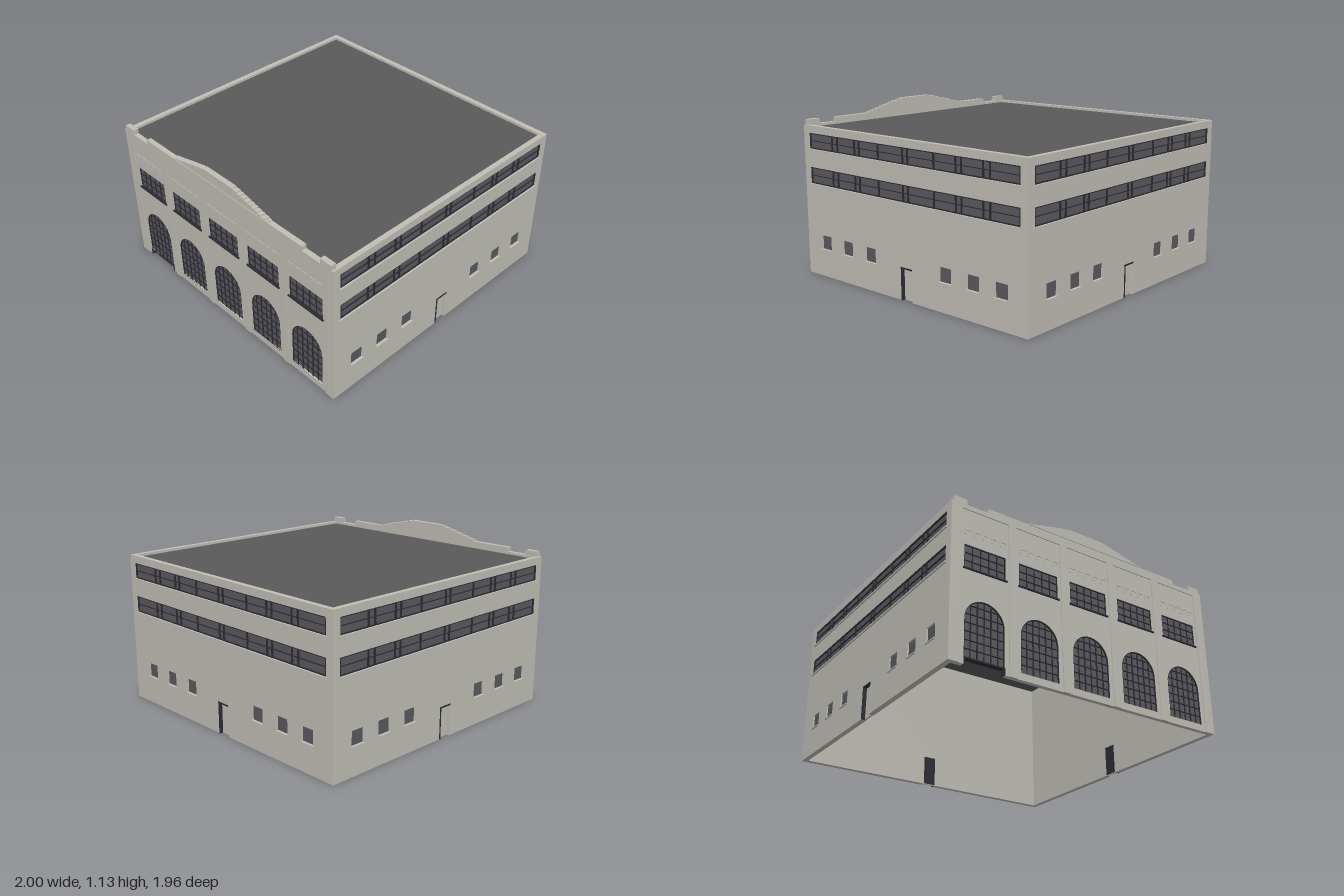
import * as THREE from 'three';

const mat = (name, color) => Object.assign(new THREE.MeshStandardMaterial({ color }), { name });

export function createModel() {
  const wall = mat('pale concrete', 0xc0beb5);
  const roofGrey = mat('roof grey', 0x5a5a5b);
  const glass = mat('window glass', 0x59595f);
  const frame = mat('dark frame', 0x2b2b33);
  const HX = 0.99, HZ = 0.975, T = 0.035, H = 1.02;

  const add = (parent, name, geo, m) => {
    const mesh = new THREE.Mesh(geo, m);
    mesh.name = name;
    parent.add(mesh);
    return mesh;
  };
  // box from its x, y and z limits
  const box = (p, name, m, x0, x1, y0, y1, z0, z1) =>
    add(p, name, new THREE.BoxGeometry(x1 - x0, y1 - y0, z1 - z0), m)
      .position.set((x0 + x1) / 2, (y0 + y1) / 2, (z0 + z1) / 2);
  // flat shape extruded between two depths
  const slab = (p, name, m, pts, holes, z0, z1) => {
    const s = new THREE.Shape(pts.map(q => new THREE.Vector2(...q)));
    s.holes = holes.map(h => new THREE.Path(h.map(q => new THREE.Vector2(...q))));
    const g = new THREE.ExtrudeGeometry(s, { depth: z1 - z0, bevelEnabled: false });
    add(p, name, g.translate(0, 0, z0), m);
  };
  const rect = (x0, x1, y0, y1) => [[x0, y0], [x1, y0], [x1, y1], [x0, y1]];
  // wall outline: ground line with notches [x0, x1, height], then the top edge right to left
  const outline = (half, top, notches) => [
    [-half, 0],
    ...notches.flatMap(([a, b, h]) => [[a, 0], [a, h], [b, h], [b, 0]]),
    [half, 0], ...top,
  ];

  const model = new THREE.Group();
  model.name = 'building';

  // Side and back walls: two ribbon windows, six small windows and a door
  function plainWall(name, half, ribbon, dist, angle) {
    const g = new THREE.Group();
    g.name = name;
    const top = [[half, H], [-half, H]];
    const door = [[-0.045, 0.045, 0.21]];
    const small = [-0.78, -0.56, -0.335, 0.335, 0.56, 0.78];
    const rows = [[0.63, 0.74], [0.865, 0.97]];
    const holes = [
      ...rows.map(([a, b]) => rect(-ribbon, ribbon, a, b)),
      ...small.map(x => rect(x - 0.048, x + 0.048, 0.19, 0.285)),
    ];
    slab(g, 'outerWall', wall, outline(half, top, door), holes, -0.015, 0);
    slab(g, 'innerWall', wall, outline(half, top, door), [], -T, -0.015);
    for (const [a, b] of rows) {
      box(g, 'ribbonGlass', glass, -ribbon, ribbon, a, b, -0.014, -0.011);
      const bar = (x0, x1, y0, y1) => box(g, 'ribbonBar', frame, x0, x1, y0, y1, -0.011, -0.003);
      bar(-ribbon, ribbon, a, a + 0.007);
      bar(-ribbon, ribbon, b - 0.007, b);
      bar(-ribbon, ribbon, (a + b) / 2 - 0.002, (a + b) / 2 + 0.002);
      for (const x of [0.022, 0.245, 0.425, 0.47, 0.64, 0.692, 0.915])
        for (const s of [-1, 1]) {
          const c = s * x * ribbon / 0.92;
          bar(c - 0.005, c + 0.005, a, b);
        }
      box(g, 'ribbonSill', wall, -ribbon - 0.008, ribbon + 0.008, a - 0.011, a, -0.005, 0.009);
    }
    for (const x of small) {
      box(g, 'smallWindow', glass, x - 0.048, x + 0.048, 0.19, 0.285, -0.014, -0.01);
      box(g, 'smallSill', wall, x - 0.052, x + 0.052, 0.183, 0.19, -0.005, 0.009);
    }
    // door leaf with a dark back, and a frame on one side and above
    box(g, 'doorLeaf', wall, -0.045, 0.045, 0, 0.21, -0.032, -0.02);
    box(g, 'doorBack', frame, -0.044, 0.044, 0.005, 0.209, -0.037, -0.032);
    box(g, 'doorJamb', frame, -0.05, -0.041, 0, 0.21, -0.02, 0.003);
    box(g, 'doorHead', frame, -0.053, 0.048, 0.206, 0.216, -0.02, 0.003);
    g.rotation.y = angle;
    g.position.set(Math.sin(angle) * dist, 0, Math.cos(angle) * dist);
    model.add(g);
  }
  plainWall('leftWall', HZ - T, 0.92, HX, Math.PI / 2);
  plainWall('rightWall', HZ - T, 0.92, HX, -Math.PI / 2);
  plainWall('backWall', HX, 0.935, HZ, Math.PI);

  // Front wall: stepped parapet and five bays
  const front = new THREE.Group();
  front.name = 'frontWall';
  front.position.z = HZ;
  model.add(front);

  const halfTop = [[HX, H], [0.975, H], [0.975, 1.055], [0.885, 1.055], [0.885, H],
    [0.74, H], [0.74, 1.05], [0.45, 1.05]];
  const stepX = [0.45, 0.43, 0.395, 0.365, 0.335, 0.305, 0.275, 0.245, 0.21, 0.18, 0.14];
  stepX.forEach((x, i) => {
    const y = 1.05 + 0.08 * (i + 1) / stepX.length;
    halfTop.push([x, y]);
    if (i < stepX.length - 1) halfTop.push([stepX[i + 1], y]);
  });
  const top = [...halfTop, ...halfTop.map(([x, y]) => [-x, y]).reverse()];

  const bays = [-0.755, -0.377, 0, 0.377, 0.755];
  const W = 0.134, SILL = 0.045, SPRING = 0.28;
  const arch = (c, r) => {
    const pts = [[c - r, SILL], [c + r, SILL]];
    for (let i = 0; i <= 20; i++) {
      const a = Math.PI * i / 20;
      pts.push([c + r * Math.cos(a), SPRING + r * Math.sin(a)]);
    }
    return pts;
  };
  const entry = [[bays[0] - W, bays[0] + W, 0.04]];
  const holes = bays.flatMap(c => [arch(c, W), rect(c - 0.142, c + 0.142, 0.6, 0.755)]);
  slab(front, 'frontSkin', wall, outline(HX, top, entry), holes, -0.02, -0.006);
  slab(front, 'frontLiner', wall, outline(HX, top, entry), [], -T, -0.02);
  slab(front, 'pilasters', wall, outline(HX, top, bays.map(c => [c - 0.163, c + 0.163, 0.99])), [], -0.006, 0);
  box(front, 'crownLedge', wall, -0.445, 0.445, 1.05, 1.056, -0.01, 0.004);

  for (const c of bays) {
    // arched window with a grid of bars
    slab(front, 'archGlass', glass, arch(c, W), [], -0.0195, -0.016);
    slab(front, 'archRim', frame, arch(c, W), [arch(c, W - 0.005)], -0.016, -0.008);
    const bar = (x0, x1, y0, y1) => box(front, 'windowBar', frame, x0, x1, y0, y1, -0.016, -0.009);
    for (let i = -2; i <= 2; i++) {
      const x = i * 0.045, w = i % 2 ? 0.003 : 0.002;
      bar(c + x - w, c + x + w, SILL, SPRING + Math.sqrt(W * W - x * x) - 0.002);
    }
    for (let y = SILL + 0.054; y < 0.4; y += 0.054) {
      const r = y > SPRING ? Math.sqrt(W * W - (y - SPRING) ** 2) : W;
      bar(c - r, c + r, y - 0.002, y + 0.002);
    }
    // upper window
    box(front, 'upperGlass', glass, c - 0.142, c + 0.142, 0.6, 0.755, -0.0195, -0.016);
    for (let i = 0; i <= 5; i++) {
      const x = c - 0.139 + i * 0.0556;
      bar(x - 0.002, x + 0.002, 0.6, 0.755);
    }
    for (const y of [0.603, 0.652, 0.703, 0.753]) bar(c - 0.142, c + 0.142, y - 0.002, y + 0.002);
    box(front, 'upperSill', frame, c - 0.15, c + 0.15, 0.592, 0.601, -0.012, 0.003);
    // brick corbel band
    for (let i = 0; i < 5; i++) {
      const x = c - 0.12 + i * 0.06;
      box(front, 'corbelCap', wall, x - 0.022, x + 0.022, 0.85, 0.864, -0.008, -0.002);
      box(front, 'corbelTooth', wall, x - 0.022, x - 0.012, 0.82, 0.85, -0.008, -0.002);
    }
  }

  // low entry frame under the first bay
  const [e0, e1] = entry[0];
  box(front, 'entryHead', frame, e0, e1, 0.036, 0.045, -T, -0.002);
  for (const x of [e0, e1 - 0.006]) box(front, 'entryJamb', frame, x, x + 0.006, 0, 0.036, -T, -0.002);

  // Flat roof inside the parapet
  box(model, 'roof', roofGrey, -HX + T, HX - T, 0.985, 1.003, -HZ + T, HZ - T);
  return model;
}
